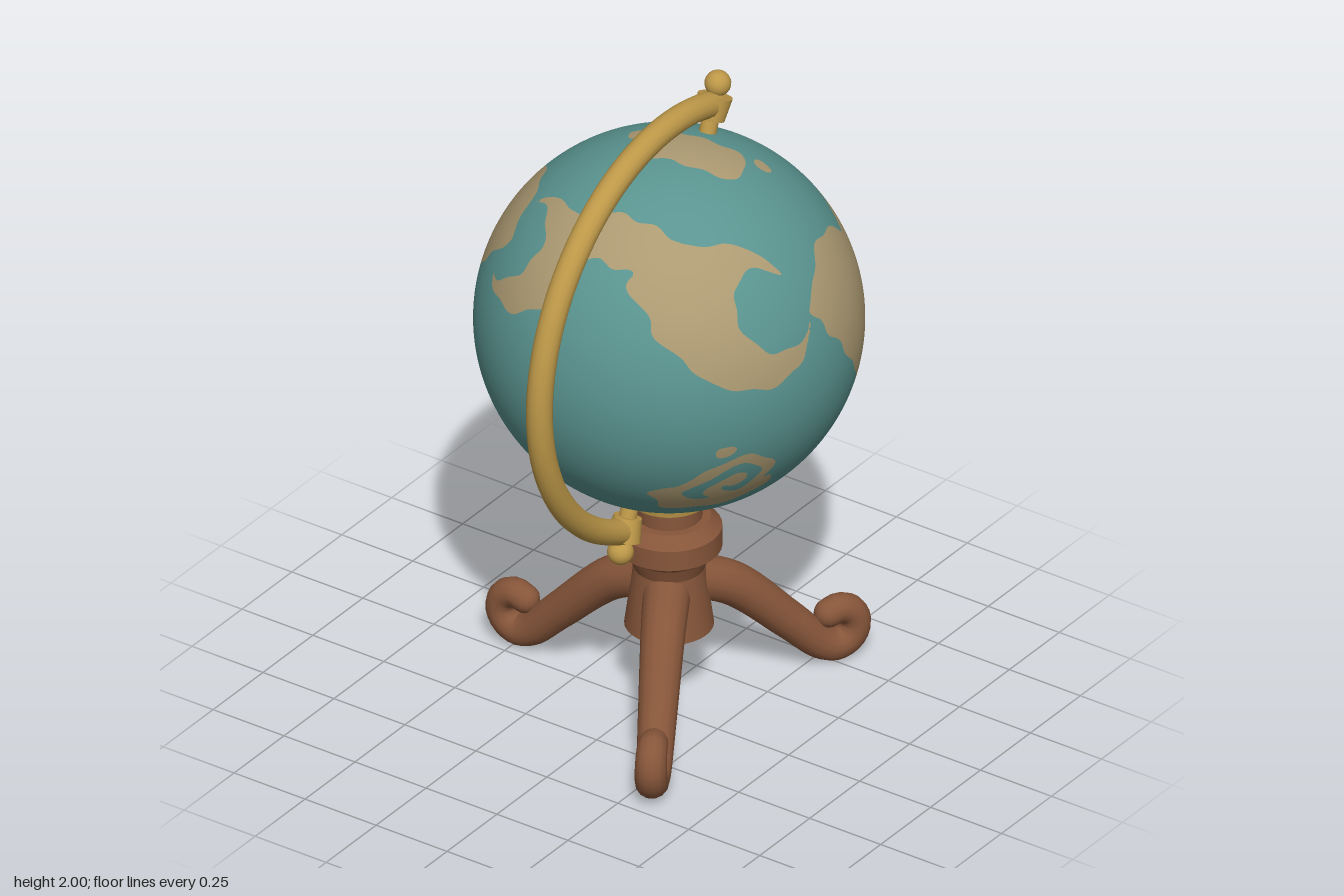
import * as THREE from 'three';
import { toCreasedNormals } from 'three/addons/utils/BufferGeometryUtils.js';

const mat = (name, color) => Object.assign(new THREE.MeshStandardMaterial({ color }), { name });
const sea = mat('teal sea', 0x5a9490), land = mat('tan land', 0xac9a72);
const brass = mat('brass', 0xbd9848), wood = mat('brown wood', 0x87563a);

const CENTRE = new THREE.Vector3(0.06, 1.295, 0.037), RADIUS = 0.565;
const { degToRad, lerp } = THREE.MathUtils;

// Land is drawn in flat charts facing an azimuth / elevation, in globe radii, with wavy coasts.
// Each field is positive on land and negative on sea.
function chart(az, el, field) {
  const a = degToRad(az), e = degToRad(el);
  const right = new THREE.Vector3(Math.cos(a), 0, -Math.sin(a));
  const out = new THREE.Vector3(Math.sin(a) * Math.cos(e), Math.sin(e), Math.cos(a) * Math.cos(e));
  const up = out.clone().cross(right);
  return dir => {
    if (dir.dot(out) <= 0) return -1;
    const x = dir.dot(right), y = dir.dot(up);
    return field(x + 0.012 * Math.sin(33 * y), y + 0.012 * Math.sin(29 * x));
  };
}

// Heart-shaped continent with its notch at cx, cy
const heart = (az, el, cx, cy) => chart(az, el, (x, y) => {
  const half = 0.66, dx = Math.abs(x - cx), s = Math.min(1, dx / half), dy = y - cy;
  const top = 0.17 * Math.sin(Math.PI * s), bottom = -0.465 * (1 - s + Math.sqrt(1 - s * s));
  return Math.min(top - dy, dy - bottom, half - dx);
});

// Disc with a bite taken out of it
const crescent = (az, el, x0, y0, r, biteX, biteY, biteR) => chart(az, el, (x, y) =>
  Math.min(r - Math.hypot(x - x0, y - y0), Math.hypot(x - biteX, y - biteY) - biteR));

// Band of land along a path given by a function of 0..1
function band(az, el, width, steps, at) {
  const line = Array.from({ length: steps + 1 }, (_, i) => new THREE.Vector2(...at(i / steps)));
  return chart(az, el, (x, y) => {
    let best = Infinity;
    for (let i = 0; i < steps; i++) {
      const p = line[i], dx = line[i + 1].x - p.x, dy = line[i + 1].y - p.y;
      const t = Math.min(1, Math.max(0, ((x - p.x) * dx + (y - p.y) * dy) / (dx * dx + dy * dy)));
      best = Math.min(best, Math.hypot(x - p.x - t * dx, y - p.y - t * dy));
    }
    return width - best;
  });
}
const islet = (az, el, x, y, dx, dy, width) => band(az, el, width, 1, t => [x + dx * t, y + dy * t]);

const LANDS = [
  heart(35, 25, .09, .06), heart(180, 15, -.05, .4),
  // double crescent and the neck joining it
  crescent(0, 0, -.42, .45, .35, -.26, .46, .2),
  crescent(215, 25, .34, .24, .31, .19, .2, .22),
  islet(0, 90, -.6, 0, .04, -.38, .11),
  // polar land and its islets
  islet(0, 90, .05, .06, .07, -.28, .15), islet(0, 90, .08, .27, .02, -.02, .045), islet(0, 90, .31, -.37, .01, .02, .04),
  // spiral island
  band(0, 0, .032, 60, t => {
    const a = 3 * Math.PI * t;
    return [-.46 + .022 * a * Math.cos(a), -.5 + .022 * a * Math.sin(a)];
  }),
  band(0, 0, .045, 16, t => {
    const a = lerp(3.5, 5.7, t);
    return [-.47 + .24 * Math.cos(a), -.46 + .21 * Math.sin(a)];
  }),
  islet(0, 0, -.61, -.23, .02, 0, .035), islet(0, 0, .32, -.4, .01, 0, .04), islet(215, 25, -.31, -.56, .02, .02, .04),
  // largest islands of the archipelago
  islet(145, -25, -.47, -.38, .39, .15, .045), islet(145, -25, .03, -.19, .19, .03, .04),
];
// Rows of small islands around them
for (let i = 0; i < 5; i++) {
  const length = i % 2 ? .08 : .03;
  LANDS.push(islet(145, -25, .24 * i - .72, .07 * i - .25, length, .02, .026));
  if (i < 3) LANDS.push(islet(145, -25, .2 * i - .64, .08 * i - .6, length, .02, .024));
  if (i < 2) LANDS.push(islet(145, -25, .28 * i - .3, .1 * i - .1, .15, .02, .024), islet(145, -25, .96 * i - .66, .3 * i - .39, .05, 0, .03));
}

// Sphere whose triangles are cut along the coastlines into a sea group and a land group
function globeGeometry() {
  const src = new THREE.IcosahedronGeometry(1, 54).getAttribute('position');
  const out = { '-1': [], 1: [] };
  for (let i = 0; i < src.count; i += 3) {
    const tri = [0, 1, 2].map(k => {
      const p = new THREE.Vector3().fromBufferAttribute(src, i + k);
      return { p, f: Math.max(...LANDS.map(field => field(p))) };
    });
    for (const sign of [-1, 1]) {
      const poly = [];
      tri.forEach((a, k) => {
        const b = tri[(k + 1) % 3];
        if (a.f * sign >= 0) poly.push(a.p);
        if (a.f * b.f < 0) poly.push(a.p.clone().lerp(b.p, a.f / (a.f - b.f)).normalize());
      });
      for (let k = 2; k < poly.length; k++)
        for (const p of [poly[0], poly[k - 1], poly[k]]) out[sign].push(p.x, p.y, p.z);
    }
  }
  const all = out[-1].concat(out[1]);
  const geo = new THREE.BufferGeometry();
  geo.setAttribute('position', new THREE.Float32BufferAttribute(all, 3));
  geo.setAttribute('normal', new THREE.Float32BufferAttribute(all, 3));
  geo.addGroup(0, out[-1].length / 3, 0);
  geo.addGroup(out[-1].length / 3, out[1].length / 3, 1);
  return geo.scale(RADIUS, RADIUS, RADIUS);
}

function add(parent, name, geo, material, x = 0, y = 0, z = 0) {
  const mesh = new THREE.Mesh(geo, material);
  mesh.name = name;
  mesh.position.set(x, y, z);
  parent.add(mesh);
}

// Scrolled leg: a tapered tube that slopes outwards and curls up at the foot
function legGeometry() {
  const points = [new THREE.Vector3(.06, .41, 0), new THREE.Vector3(.2, .345, 0), new THREE.Vector3(.38, .175, 0)];
  for (let i = 0; i < 7; i++) {
    const a = 3.9 + 0.75 * i, r = 0.068 - 0.003 * i;
    points.push(new THREE.Vector3(.532 + r * Math.cos(a), .122 + r * Math.sin(a), 0));
  }
  const curve = new THREE.CatmullRomCurve3(points), steps = 56, sides = 14;
  const geo = new THREE.TubeGeometry(curve, steps, 1, sides);
  const pos = geo.getAttribute('position'), p = new THREE.Vector3();
  for (let i = 0; i < pos.count; i++) {
    const t = Math.floor(i / (sides + 1)) / steps, c = curve.getPointAt(t);
    p.fromBufferAttribute(pos, i).sub(c).multiplyScalar(lerp(0.07, 0.043, t)).add(c);
    pos.setXYZ(i, p.x, p.y, p.z);
  }
  return { geo, tip: points.at(-1) };
}

export function createModel() {
  const model = new THREE.Group();
  model.name = 'globeOnStand';

  add(model, 'globe', globeGeometry(), [sea, land], ...CENTRE);

  // Half-circle arm with a pivot at each end
  const arm = new THREE.Group();
  arm.name = 'meridianArm';
  arm.position.copy(CENTRE);
  arm.rotation.z = degToRad(70);
  model.add(arm);
  add(arm, 'armRing', new THREE.TorusGeometry(0.65, 0.039, 14, 80, Math.PI), brass);
  for (const side of [1, -1]) {
    const turned = (outer, inner, length) =>
      new THREE.CylinderGeometry(outer, inner, length, 20).rotateZ(-side * Math.PI / 2);
    add(arm, 'pivotCap', turned(0.052, 0.042, 0.07), brass, side * 0.64);
    add(arm, 'pivotPin', turned(0.026, 0.026, 0.07), brass, side * 0.585);
    add(arm, 'pivotKnob', new THREE.SphereGeometry(0.039, 20, 14), brass, side * 0.713);
  }

  // Turned stand
  const stand = new THREE.Group();
  stand.name = 'stand';
  stand.position.set(CENTRE.x, 0, CENTRE.z);
  model.add(stand);
  const profile = [[0, .265], [.13, .265], [.104, .46], [.12, .505], [.154, .53], [.154, .595], [.12, .63], [.096, .63], [.096, .7]];
  const column = new THREE.LatheGeometry(profile.map(p => new THREE.Vector2(...p)), 32);
  add(stand, 'column', toCreasedNormals(column, 0.4), wood);
  add(stand, 'brassCollar', new THREE.CylinderGeometry(0.125, 0.12, 0.03, 32), brass, 0, 0.705);
  add(stand, 'brassRim', new THREE.CylinderGeometry(0.135, 0.135, 0.018, 32), brass, 0, 0.729);

  // Three legs
  const { geo, tip } = legGeometry();
  for (let i = 0; i < 3; i++) {
    const leg = new THREE.Group();
    leg.name = 'leg';
    leg.rotation.y = degToRad(90 + 120 * i);
    stand.add(leg);
    add(leg, 'scrolledLeg', geo, wood);
    add(leg, 'legRoot', new THREE.SphereGeometry(0.07, 16, 12), wood, .06, .41);
    add(leg, 'scrollTip', new THREE.SphereGeometry(0.043, 14, 10), wood, ...tip);
  }
  return model;
}
